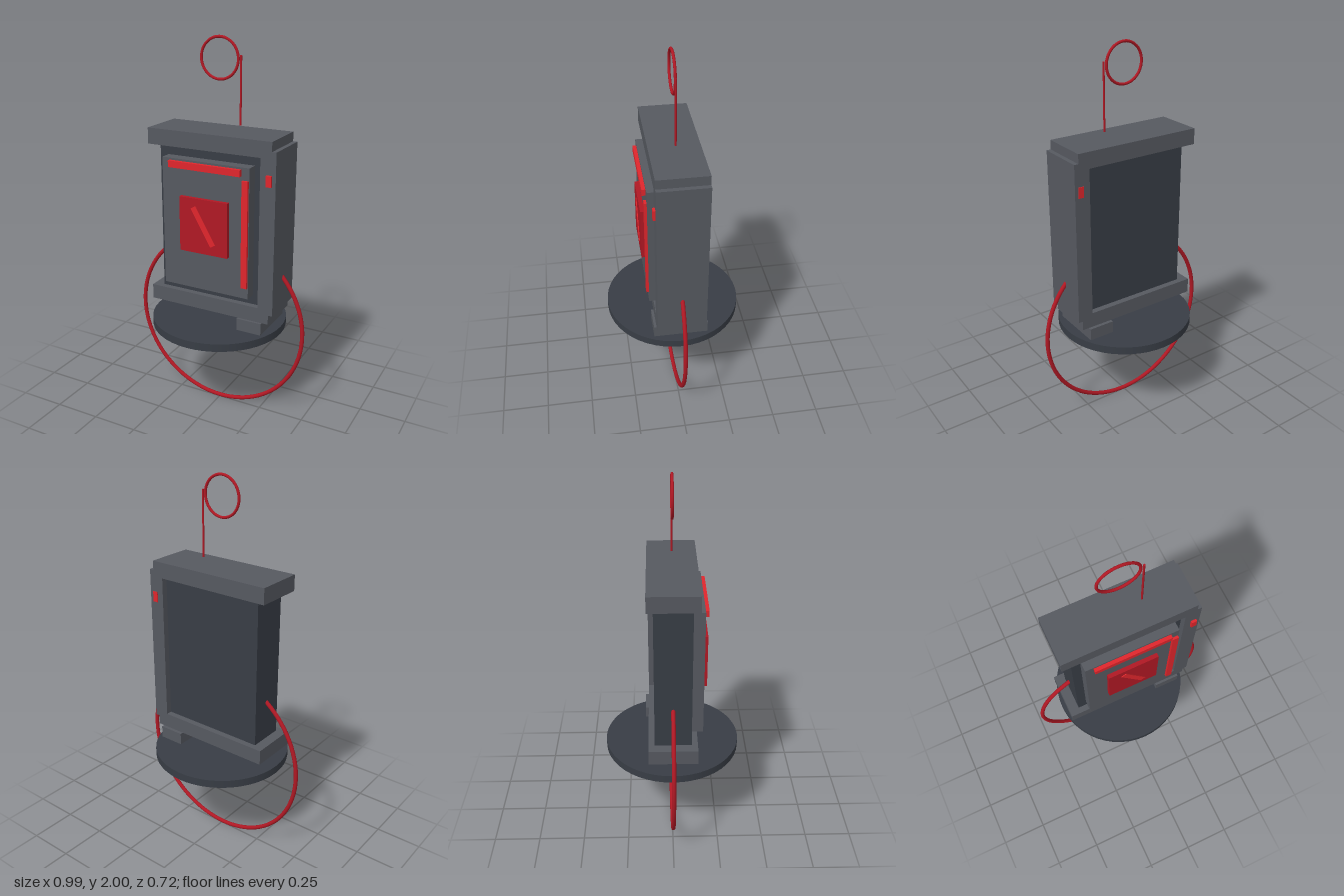
import * as THREE from 'three';

export function createModel() {
  const model = new THREE.Group();
  const paint = (color) => new THREE.MeshStandardMaterial({ color });
  const grey = paint(0x565960);
  const dark = paint(0x383d45);
  const red = paint(0xb01824);
  const brightRed = paint(0xe0262c);

  const add = (name, geometry, material, x = 0, y = 0, z = 0) => {
    const mesh = new THREE.Mesh(geometry, material);
    mesh.name = name;
    mesh.position.set(x, y, z);
    model.add(mesh);
    return mesh;
  };
  // Box given by its extents along each axis
  const box = (name, material, [x0, x1], [y0, y1], [z0, z1]) =>
    add(name, new THREE.BoxGeometry(x1 - x0, y1 - y0, z1 - z0), material,
      (x0 + x1) / 2, (y0 + y1) / 2, (z0 + z1) / 2);

  // Round base and the foot that carries the cabinet
  add('baseDisc', new THREE.CylinderGeometry(0.362, 0.362, 0.042, 48), dark, 0, 0.511, 0);
  box('foot', grey, [0.173, 0.31], [0.53, 0.597], [-0.145, 0.14]);

  // Cabinet: recessed core between two slabs, with a side post
  box('core', dark, [-0.29, 0.29], [0.66, 1.47], [-0.095, 0.095]);
  box('topSlab', grey, [-0.344, 0.344], [1.46, 1.543], [-0.127, 0.127]);
  box('bottomSlab', grey, [-0.344, 0.344], [0.597, 0.677], [-0.127, 0.127]);
  box('sidePost', grey, [0.285, 0.367], [0.648, 1.495], [-0.127, 0.127]);
  box('sideButton', brightRed, [0.32, 0.348], [1.325, 1.38], [-0.131, 0.14]);

  // Front panel with trim bars and display
  box('frontPanel', grey, [-0.243, 0.243], [0.728, 1.41], [0.09, 0.155]);
  box('topBar', brightRed, [-0.2, 0.2], [1.366, 1.4], [0.15, 0.174]);
  box('sideBar', brightRed, [0.207, 0.24], [0.788, 1.346], [0.15, 0.168]);
  box('display', red, [-0.135, 0.135], [0.936, 1.224], [0.15, 0.177]);
  const needle = add('needle', new THREE.BoxGeometry(0.03, 0.22, 0.012), brightRed, 0, 1.083, 0.175);
  needle.rotation.z = Math.PI / 6;

  // Large hoop through the cabinet, small ring and rod above it
  add('largeHoop', new THREE.TorusGeometry(0.485, 0.011, 12, 96), red, 0, 0.496, 0);
  add('smallRing', new THREE.TorusGeometry(0.101, 0.007, 10, 48), red, 0, 1.892, 0);
  add('rod', new THREE.CylinderGeometry(0.005, 0.005, 0.335, 10), red, 0.116, 1.743, 0);

  return model;
}
